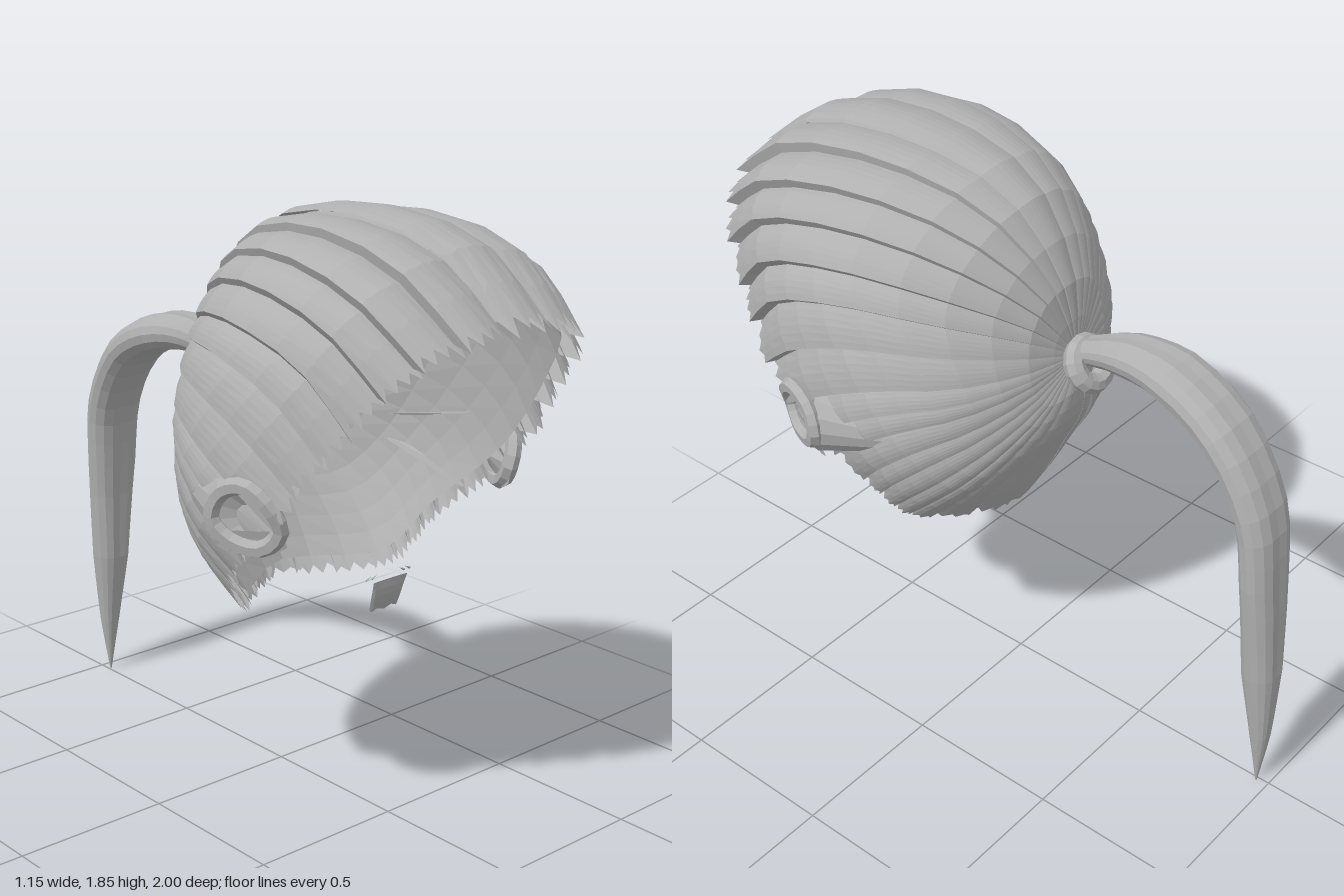
import * as THREE from 'three';

const hair = new THREE.MeshStandardMaterial({ color: 0xb0b0b0, flatShading: true, side: THREE.DoubleSide });
hair.name = 'grey hair';
const V = (x, y, z) => new THREE.Vector3(x, y, z);

// Small seeded random
let seed = 7;
const rnd = () => (seed = (seed * 16807) % 2147483647) / 2147483647;

// Surface from a rule f(u, v) -> Vector3
function sheet(name, cols, rows, f) {
  const pos = [], idx = [];
  for (let j = 0; j <= rows; j++)
    for (let i = 0; i <= cols; i++) pos.push(...f(i / cols, j / rows, i).toArray());
  for (let j = 0; j < rows; j++)
    for (let i = 0; i < cols; i++) {
      const a = j * (cols + 1) + i, b = a + cols + 1;
      idx.push(a, b, a + 1, a + 1, b, b + 1);
    }
  const g = new THREE.BufferGeometry();
  g.setAttribute('position', new THREE.Float32BufferAttribute(pos, 3));
  g.setIndex(idx);
  g.computeVertexNormals();
  const m = new THREE.Mesh(g, hair);
  m.name = name;
  return m;
}

// Guide lines from the tie to the hairline: crown, down the left side, nape
const pole = [0, 1.27, -0.215];
const guides = [
  [pole, [0, 1.52, -0.18], [0, 1.76, -0.01], [0, 1.84, 0.33], [0, 1.785, 0.73], [0, 1.6, 0.985]],
  [pole, [0.1, 1.49, -0.17], [0.22, 1.68, 0.02], [0.31, 1.745, 0.36], [0.335, 1.675, 0.7], [0.295, 1.52, 0.905]],
  [pole, [0.17, 1.4, -0.16], [0.36, 1.5, 0.04], [0.465, 1.52, 0.33], [0.465, 1.44, 0.58], [0.43, 1.29, 0.72]],
  [pole, [0.19, 1.28, -0.17], [0.37, 1.27, -0.04], [0.48, 1.24, 0.16], [0.505, 1.15, 0.36], [0.475, 1.04, 0.52]],
  [pole, [0.17, 1.19, -0.18], [0.32, 1.11, -0.09], [0.43, 1.03, 0.04], [0.455, 0.93, 0.16], [0.41, 0.81, 0.27]],
  [pole, [0.12, 1.13, -0.2], [0.22, 1.01, -0.14], [0.3, 0.89, -0.05], [0.325, 0.77, 0.07], [0.3, 0.66, 0.18]],
  [pole, [0, 1.15, -0.225], [0, 1.03, -0.2], [0, 0.9, -0.13], [0, 0.77, -0.07], [0, 0.645, 0]],
];
const ring = [];
for (let k = 0; k < 12; k++) {
  const side = k > 6 ? -1 : 1;
  ring.push(new THREE.CatmullRomCurve3(guides[k > 6 ? 12 - k : k].map(p => V(p[0] * side, p[1], p[2]))));
}

// Scalp point: s runs round the tie (0 crown, 6 nape), t from tie to hairline
function scalp(s, t) {
  if (t > 1) {
    const end = scalp(s, 1);
    return end.add(end.clone().sub(scalp(s, 0.95)).multiplyScalar((t - 1) / 0.05));
  }
  const loop = new THREE.CatmullRomCurve3(ring.map(c => c.getPoint(t)), true);
  return loop.getPoint((((s % 12) + 12) % 12) / 12);
}

// Scalp point pushed outward, less so near the tie
const heart = V(0, 1.2, 0.35);
function raised(s, t, rise) {
  const p = scalp(s, t);
  const out = p.clone().sub(heart).normalize();
  return p.addScaledVector(out, Math.min(1, t * 1.3) * rise);
}

// One overlapping lock: rises toward its lower edge, folds back under, ragged tip
function lock(s0, s1, lift, side = 1) {
  const cols = 8, over = 0.05, ends = [];
  for (let i = 0; i <= cols; i++) ends.push((i % 2 ? 0.012 : -0.022) + (rnd() - 0.5) * 0.02);
  return sheet('hairLock', cols, 11, (u, v, i) => {
    const t = 0.004 + v * 0.996 + ends[i] * Math.pow(v, 10);
    const s = s0 - over + Math.min(1, u * 1.1) * (s1 - s0 + over * 1.5);
    const rise = u < 0.95 ? lift * (u - 0.55) + 0.014 * Math.sin(Math.PI * u) - 0.004 : -0.45 * lift - 0.008;
    const p = raised(s, t, rise);
    p.x *= side;
    return p;
  });
}

// Flared lock and curl beside each ear
function earCurl(side) {
  const g = new THREE.Group();
  g.name = side > 0 ? 'leftEarCurl' : 'rightEarCurl';
  g.add(sheet('earLock', 8, 4, (u, v) => {
    const a = (u - 0.5) * 3.5, r = 0.35 + 0.65 * v;
    return V(side * (0.4 + 0.05 * v + 0.118 * r * Math.cos(a)), 1.06 + 0.12 * r * Math.sin(a) - 0.02 * v, 0.06 + 0.3 * v);
  }));
  const path = new THREE.CatmullRomCurve3([
    V(0.46, 1.02, 0.53), V(0.49, 1.09, 0.515), V(0.52, 1.14, 0.45), V(0.54, 1.11, 0.37),
    V(0.55, 1.03, 0.34), V(0.52, 0.97, 0.39), V(0.48, 0.96, 0.48)].map(p => V(p.x * side, p.y, p.z)), true);
  const curl = new THREE.Mesh(new THREE.TubeGeometry(path, 20, 0.026, 6, true), hair);
  curl.name = 'curl';
  g.add(curl);
  // inward fold closing the curl toward the head
  g.add(sheet('innerFold', 12, 3, (u, v) => path.getPoint(u).lerp(V(side * 0.46, 1.04, 0.43), v)));
  // ragged flap under the curl
  g.add(sheet('earFlap', 6, 2, (u, v, i) => V(
    side * (0.54 - 0.08 * u - 0.015 * v), 0.99 - 0.05 * v - (v === 1 && i % 2 ? 0.018 : 0) + 0.03 * u, 0.33 + 0.21 * u)));
  return g;
}

// Grooved tail that arches back and tapers to a point
function ponytail() {
  const path = new THREE.CatmullRomCurve3([
    V(0, 1.29, -0.22), V(-0.01, 1.342, -0.4), V(-0.02, 1.328, -0.55), V(-0.01, 1.23, -0.74),
    V(0, 1.03, -0.875), V(0.01, 0.8, -0.915), V(0.01, 0.45, -0.94), V(0.01, 0.2, -0.957), V(0.01, 0, -0.96)]);
  const width = [0.045, 0.08, 0.102, 0.106, 0.1, 0.09, 0.064, 0.034, 0.003];
  const depth = [0.038, 0.062, 0.07, 0.068, 0.064, 0.062, 0.062, 0.034, 0.003];
  const at = (a, t) => {
    const k = Math.min(7, Math.floor(t * 8));
    return THREE.MathUtils.lerp(a[k], a[k + 1], t * 8 - k);
  };
  return sheet('ponytail', 16, 24, (u, v) => {
    const p = path.getPoint(v), tan = path.getTangent(v);
    const up = tan.clone().cross(V(1, 0, 0)).normalize();
    const a = u * Math.PI * 2;
    const groove = 1 - 0.16 * Math.pow(Math.abs(Math.sin(a)), 12);
    p.x += Math.cos(a) * at(width, v);
    return p.addScaledVector(up, Math.sin(a) * at(depth, v) * groove);
  });
}

// Small chin tuft with short wisps above it
function chinTuft() {
  const g = new THREE.Group();
  g.name = 'chinTuft';
  g.add(sheet('tuft', 12, 4, (u, v, i) => {
    const a = u * Math.PI * 2, w = 0.068 - 0.01 * v;
    const y = 0.76 - 0.095 * v + (v === 1 && i % 2 ? -0.008 : 0);
    return V(Math.cos(a) * w, y, 0.492 - 0.028 * v + Math.sin(a) * (0.003 + 0.009 * Math.sin(Math.PI * v)));
  }));
  for (const side of [-1, 1])
    for (const x of [0.055, 0.078]) {
      const wisp = new THREE.Mesh(new THREE.ConeGeometry(0.004, 0.024, 4), hair);
      wisp.name = 'wisp';
      wisp.position.set(side * x, 0.775, 0.482);
      wisp.rotation.z = side * 1.1;
      g.add(wisp);
    }
  return g;
}

export function createModel() {
  const model = new THREE.Group();
  model.name = 'ponytailHair';

  // Swept-back cap of locks
  const cap = new THREE.Group();
  cap.name = 'hairCap';
  cap.add(lock(-0.2, 0.28, 0));
  const cuts = [0.24];
  for (let i = 1; i <= 7; i++) cuts.push(0.24 + i * 0.394 + (rnd() - 0.5) * 0.08);
  for (let i = 1; i <= 9; i++) cuts.push(3 + i * 0.31 + (rnd() - 0.5) * 0.06);
  for (let i = 0; i + 1 < cuts.length; i++)
    for (const side of [1, -1]) cap.add(lock(cuts[i], cuts[i + 1], i < 8 ? 0.045 : 0.022, side));
  cap.add(lock(5.76, 6.28, 0));
  // smooth lining under the locks
  cap.add(sheet('lining', 40, 10, (u, v) => raised(u * 12, 0.004 + v * 0.966, -0.03)));
  model.add(cap);

  model.add(earCurl(1), earCurl(-1));

  // Hair tie
  const tie = new THREE.Mesh(new THREE.TorusGeometry(0.06, 0.033, 8, 16), hair);
  tie.name = 'hairTie';
  tie.position.set(0.005, 1.262, -0.262);
  tie.quaternion.setFromUnitVectors(V(0, 0, 1), V(0, 0.53, -0.85).normalize());
  model.add(tie);

  model.add(ponytail(), chinTuft());
  return model;
}
